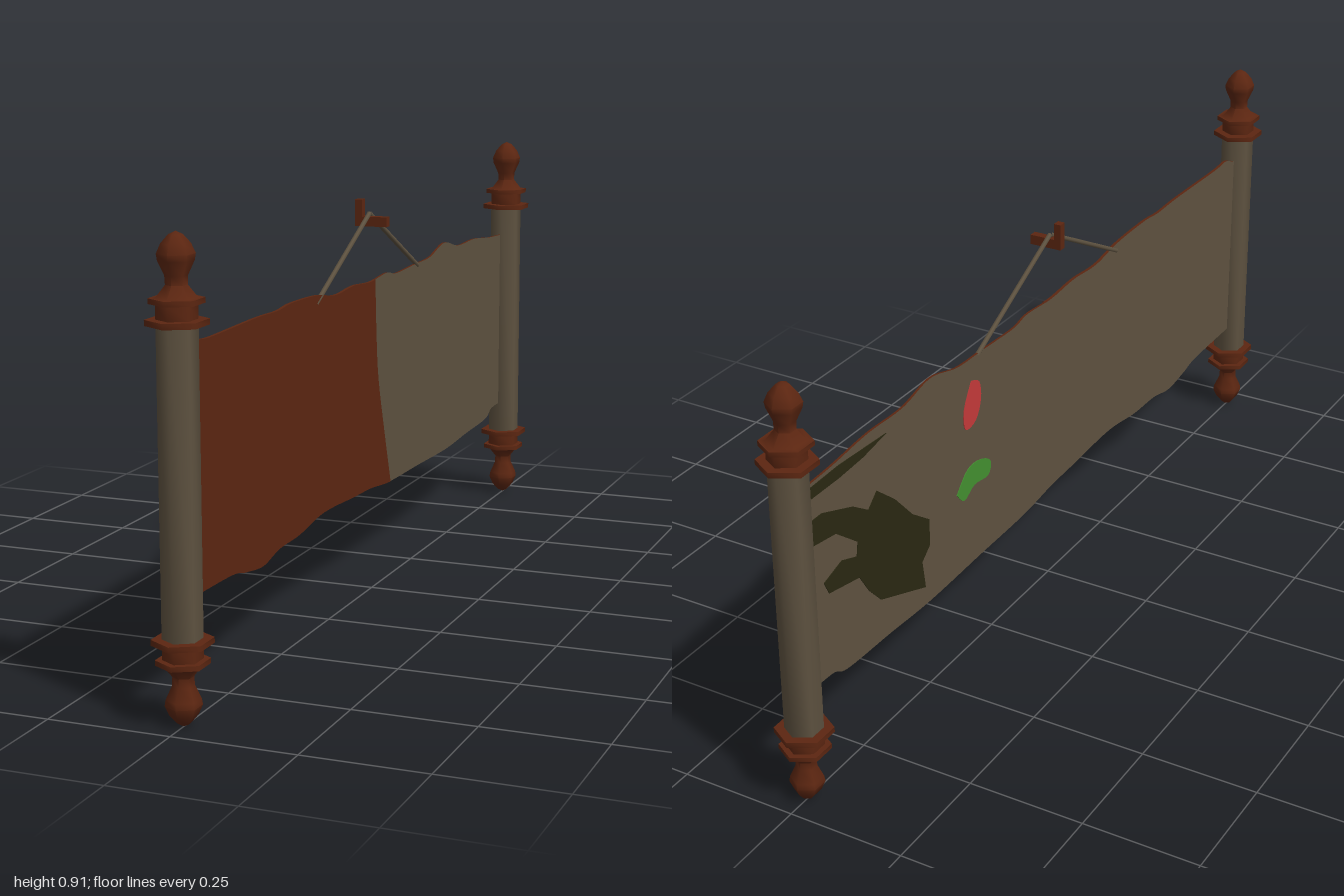
import * as THREE from 'three';
import { toCreasedNormals } from 'three/addons/utils/BufferGeometryUtils.js';

const HEIGHT = 0.908, POLE_Z = 0.942, SHEET_X = -0.005;

const material = (name, color) => {
  const m = new THREE.MeshStandardMaterial({ color });
  m.name = name;
  return m;
};

const smooth = (pts, n) =>
  new THREE.SplineCurve(pts.map(p => new THREE.Vector2(...p))).getPoints(n).map(p => [p.x, p.y]);

// Flat plate from a [z, y] outline, filling x0..x1
function plate(name, outline, x0, x1, mat) {
  const shape = new THREE.Shape(outline.map(([z, y]) => new THREE.Vector2(-z, y)));
  const geo = new THREE.ExtrudeGeometry(shape, { depth: x1 - x0, bevelEnabled: false });
  geo.rotateY(Math.PI / 2).translate(x0, 0, 0);
  const mesh = new THREE.Mesh(geo, mat);
  mesh.name = name;
  return mesh;
}

// Six-sided turned part from a [radius, y] profile
function turned(name, profile, mat) {
  const geo = new THREE.LatheGeometry(profile.map(p => new THREE.Vector2(...p)), 6);
  const mesh = new THREE.Mesh(toCreasedNormals(geo, 1.12), mat);
  mesh.name = name;
  return mesh;
}

function box(name, x0, x1, y0, y1, depth, mat) {
  const mesh = new THREE.Mesh(new THREE.BoxGeometry(x1 - x0, y1 - y0, depth), mat);
  mesh.position.set((x0 + x1) / 2, (y0 + y1) / 2, 0);
  mesh.name = name;
  return mesh;
}

export function createModel() {
  const model = new THREE.Group();
  model.name = 'hangingScroll';
  const parchment = material('parchment', 0x5e5240);
  const wood = material('redBrownWood', 0x5c2611);
  const ink = material('darkInk', 0x2a2812);
  const red = material('redPaint', 0xc43a3a);
  const green = material('greenPaint', 0x439030);

  // Rollers: hexagonal rod with a turned finial and collars at both ends
  const finial = [
    [0, 0], [0.013, 0.006], [0.027, 0.022], [0.035, 0.04], [0.033, 0.052], [0.021, 0.078],
    [0.02, 0.095], [0.038, 0.118], [0.051, 0.118], [0.051, 0.128], [0.038, 0.128],
    [0.038, 0.156], [0.058, 0.156], [0.058, 0.167], [0, 0.167],
  ];
  const flipped = finial.map(([r, y]) => [r, HEIGHT - y]).reverse();
  for (const side of [1, -1]) {
    const roller = new THREE.Group();
    roller.name = side > 0 ? 'frontRoller' : 'backRoller';
    roller.add(
      turned('rod', [[0.038, 0.16], [0.038, HEIGHT - 0.16]], parchment),
      turned('lowerFinial', finial, wood),
      turned('upperFinial', flipped, wood));
    roller.position.z = side * POLE_Z;
    model.add(roller);
  }

  // Sheet with wavy upper and lower edges
  const top = smooth([
    [0.93, 0.68], [0.9, 0.687], [0.86, 0.7], [0.8, 0.697], [0.6, 0.7], [0.5, 0.698], [0.43, 0.703],
    [0.3, 0.699], [0.2, 0.685], [0.1, 0.69], [0, 0.684], [-0.1, 0.69], [-0.16, 0.681],
    [-0.28, 0.685], [-0.38, 0.688], [-0.48, 0.709], [-0.58, 0.69], [-0.7, 0.691],
    [-0.82, 0.68], [-0.93, 0.675]], 130);
  const bottom = smooth([
    [0.93, 0.23], [0.73, 0.226], [0.66, 0.214], [0.58, 0.205], [0.5, 0.219], [0.4, 0.222],
    [0.27, 0.237], [0.1, 0.23], [0, 0.226], [-0.12, 0.214], [-0.3, 0.211], [-0.5, 0.207],
    [-0.65, 0.214], [-0.8, 0.22], [-0.85, 0.238], [-0.93, 0.24]], 130);
  model.add(plate('sheet', [...top, ...[...bottom].reverse()],
    SHEET_X - 0.003, SHEET_X + 0.002, [parchment, wood]));

  // Red-brown cover over the front part of the left face
  const seam = smooth([[-0.025, 0.687], [-0.033, 0.55], [-0.045, 0.46], [-0.08, 0.34], [-0.12, 0.214]], 16);
  model.add(plate('cover', [
    ...top.filter(p => p[0] > -0.025), ...seam,
    ...bottom.filter(p => p[0] > -0.12).reverse()], SHEET_X + 0.002, SHEET_X + 0.004, wood));

  // Painted patches on the right face
  const paint = (name, outline, mat) =>
    model.add(plate(name, outline, SHEET_X - 0.0045, SHEET_X - 0.003, mat));
  paint('inkBlot', [
    [-0.92, 0.6], [-0.86, 0.6], [-0.76, 0.563], [-0.71, 0.53], [-0.68, 0.557], [-0.62, 0.508],
    [-0.56, 0.443], [-0.5, 0.4], [-0.5, 0.34], [-0.53, 0.315], [-0.52, 0.25], [-0.68, 0.31],
    [-0.72, 0.353], [-0.75, 0.4], [-0.85, 0.42], [-0.865, 0.45], [-0.805, 0.468], [-0.755, 0.45],
    [-0.75, 0.48], [-0.82, 0.535], [-0.92, 0.55]], ink);
  paint('inkStreak', [
    [-0.92, 0.668], [-0.8, 0.672], [-0.64, 0.664], [-0.72, 0.65], [-0.8, 0.645], [-0.92, 0.645]], ink);
  paint('redMark', smooth([
    [-0.33, 0.636], [-0.3, 0.622], [-0.294, 0.58], [-0.315, 0.54], [-0.355, 0.535],
    [-0.36, 0.58], [-0.33, 0.636]], 24), red);
  paint('greenMark', smooth([
    [-0.394, 0.4], [-0.35, 0.44], [-0.3, 0.44], [-0.26, 0.418], [-0.27, 0.388], [-0.325, 0.392],
    [-0.365, 0.374], [-0.394, 0.4]], 28), green);

  // Hanging cords rising to the peg
  for (const side of [1, -1]) {
    const path = new THREE.LineCurve3(
      new THREE.Vector3(SHEET_X, 0.68, side * 0.3), new THREE.Vector3(SHEET_X, 0.832, 0));
    const cord = new THREE.Mesh(new THREE.TubeGeometry(path, 1, 0.0055, 6), parchment);
    cord.name = side > 0 ? 'frontCord' : 'backCord';
    model.add(cord);
  }

  // L-shaped wall peg
  const peg = new THREE.Group();
  peg.name = 'peg';
  peg.add(box('pegArm', -0.035, 0.037, 0.805, 0.826, 0.018, wood),
    box('pegUpright', -0.035, -0.019, 0.826, 0.862, 0.018, wood));
  model.add(peg);

  return model;
}
